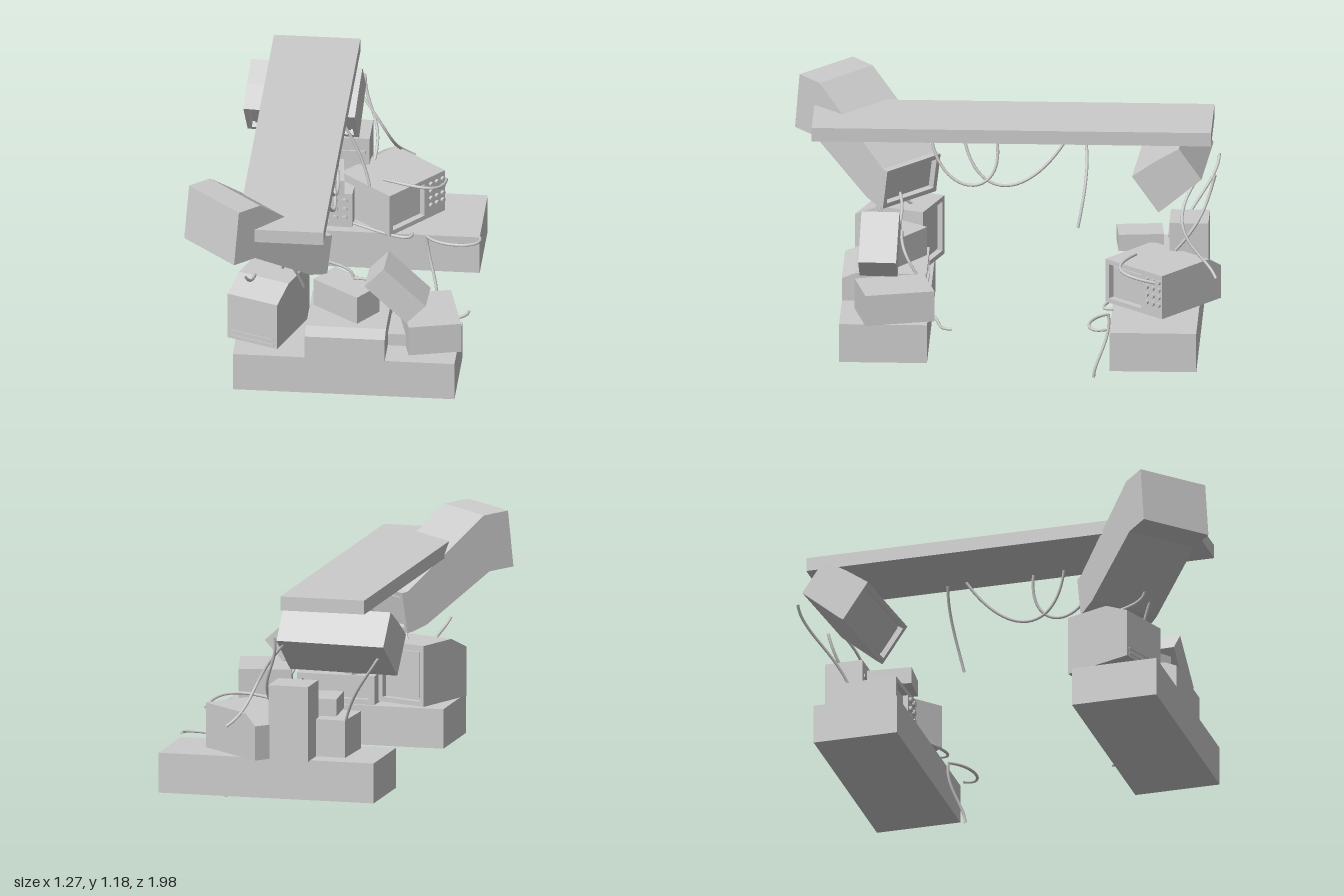
import * as THREE from 'three';

const grey = new THREE.MeshStandardMaterial({ color: 0xcccccc, side: THREE.DoubleSide });

function add(parent, name, geometry, pos = [0, 0, 0], rot = [0, 0, 0]) {
  const m = new THREE.Mesh(geometry, grey);
  m.name = name;
  m.position.set(...pos);
  m.rotation.set(...rot);
  parent.add(m);
}
const box = (parent, name, size, pos, rot) => add(parent, name, new THREE.BoxGeometry(...size), pos, rot);

// Side profile (x forward, y up) extruded to a centred width
function slab(profile, width) {
  const shape = new THREE.Shape(profile.map(p => new THREE.Vector2(...p)));
  return new THREE.ExtrudeGeometry(shape, { depth: width, bevelEnabled: false }).translate(0, 0, -width / 2);
}

// Rectangular frame with a hole, facing +x
function frame(w, h, border, holeW = w - 2 * border) {
  const rect = (P, x0, y0, x1, y1) => new P([[x0, y0], [x1, y0], [x1, y1], [x0, y1]].map(p => new THREE.Vector2(...p)));
  const s = rect(THREE.Shape, -w / 2, -h / 2, w / 2, h / 2);
  const x0 = border - w / 2;
  s.holes.push(rect(THREE.Path, x0, border - h / 2, x0 + holeW, h / 2 - border));
  return new THREE.ExtrudeGeometry(s, { depth: 0.03, bevelEnabled: false }).rotateY(Math.PI / 2);
}

// Monitor: casing from a profile whose last two points are the screen edge (bottom, top)
function monitor(name, parent, profile, width, pos, yaw, tilt = 0, holeW = width - 0.044) {
  const body = new THREE.Group();
  body.name = name;
  body.position.set(...pos);
  body.rotation.set(0, yaw, tilt);
  parent.add(body);
  add(body, 'casing', slab(profile, width));
  const [b, t] = profile.slice(-2);
  const h = Math.hypot(t[0] - b[0], t[1] - b[1]);
  const face = new THREE.Group();
  face.name = 'screenFace';
  face.position.set((b[0] + t[0]) / 2, (b[1] + t[1]) / 2, 0);
  face.rotation.z = -Math.atan2(t[0] - b[0], t[1] - b[1]);
  body.add(face);
  add(face, 'bezel', frame(width, h, 0.022, holeW));
  box(face, 'screen', [0.012, h - 0.07, holeW - 0.03], [0.006, 0, width / 2 - 0.022 - holeW / 2]);
  return { body, face };
}

function knobs(parent, y, z, cols, rows, step, r) {
  const geo = new THREE.CylinderGeometry(r, r, 0.014, 10).rotateZ(Math.PI / 2);
  for (let i = 0; i < cols; i++)
    for (let j = 0; j < rows; j++) add(parent, 'knob', geo, [0.036, y - j * step, z - i * step]);
}

// Cable between two points, pulled aside near each end by a bow vector
function cable(parent, a, b, bowA, bowB = bowA) {
  const from = new THREE.Vector3(...a), to = new THREE.Vector3(...b);
  const curve = new THREE.CubicBezierCurve3(from, from.clone().add(new THREE.Vector3(...bowA)),
    to.clone().add(new THREE.Vector3(...bowB)), to);
  add(parent, 'cable', new THREE.TubeGeometry(curve, 28, 0.007, 8));
}

export function createModel() {
  const root = new THREE.Group();
  root.name = 'monitorBridge';

  // Plinths and the plank that bridges them
  box(root, 'frontPlinth', [1.025, 0.185, 0.405], [0.1, 0.228, 0.548]);
  box(root, 'backPlinth', [1.025, 0.187, 0.4], [0.1, 0.202, -0.695]);
  box(root, 'plank', [0.4, 0.065, 1.84], [-0.18, 1.033, -0.02]);

  // Large tilted monitor at the front of the plank
  monitor('largeMonitor', root,
    [[0.16, 1.18], [0.03, 1.19], [0, 0.925], [0.13, 0.915], [0.47, 0.7], [0.545, 0.675], [0.575, 0.865]],
    0.345, [-0.51, 0, 0.875], 0.82);

  // Monitor under it, turned to the back, with vent slots on its rear
  const low = monitor('lowMonitor', root,
    [[0.12, 0.62], [0, 0.565], [0, 0.335], [0.31, 0.335], [0.31, 0.62]], 0.255, [-0.33, 0, 0.665], 1.21);
  for (const y of [0.352, 0.378]) box(low.body, 'ventSlot', [0.006, 0.006, 0.22], [-0.002, y, 0]);

  // Console with a sloping front lip and an open bay at the back
  const deck = new THREE.Group();
  deck.name = 'console';
  deck.position.set(0.105, 0.32, 0.75);
  deck.rotation.y = Math.PI / 2;
  root.add(deck);
  add(deck, 'casing', slab([[0, 0], [0.36, 0], [0.36, 0.135], [0.06, 0.135], [0, 0.11]], 0.37));
  add(deck, 'bay', frame(0.37, 0.135, 0.025), [0.36, 0.068, 0]);

  // Loose cases stacked on the front plinth
  box(root, 'stackedCase', [0.27, 0.14, 0.155], [0.09, 0.522, 0.51], [0, -0.64, 0]);
  box(root, 'leaningCase', [0.265, 0.132, 0.175], [0.333, 0.615, 0.575], [0, -0.04, -0.745]);
  box(root, 'cornerCase', [0.245, 0.147, 0.325], [0.475, 0.393, 0.5], [0, 0.24, 0]);
  box(root, 'smallCase', [0.09, 0.06, 0.2], [0.33, 0.35, 0.5]);

  // Hanging monitor under the back of the plank, looking down and forward
  monitor('hangingMonitor', root,
    [[0, 0.105], [-0.13, 0.095], [-0.13, -0.085], [0.1, -0.105], [0.1, 0.105]],
    0.52, [-0.22, 0.842, -0.76], -1.64, -0.62);

  // Measuring set turned to the front corner
  const scope = monitor('cornerScope', root,
    [[0.08, 0.51], [0, 0.46], [0, 0.3], [0.37, 0.3], [0.37, 0.51]], 0.355, [0.011, 0, -0.855], -0.707, 0, 0.2);
  knobs(scope.face, 0.07, -0.085, 3, 4, 0.037, 0.011);

  // Smaller measuring set with a box on top
  const set = monitor('smallScope', root,
    [[0, 0.47], [0, 0.295], [0.22, 0.295], [0.22, 0.47]], 0.28, [-0.11, 0, -0.79], -1.61, 0, 0.15);
  knobs(set.face, 0.05, -0.06, 2, 3, 0.045, 0.014);
  box(root, 'topBox', [0.15, 0.08, 0.21], [-0.1, 0.51, -0.61], [0, 0.1, 0]);

  // Tall tower at the back with a drive slot
  box(root, 'tower', [0.19, 0.35, 0.18], [-0.015, 0.47, -0.84]);
  box(root, 'driveSlot', [0.15, 0.015, 0.01], [-0.015, 0.575, -0.748]);

  // Cables slung and hanging under the plank
  cable(root, [-0.04, 1, 0.35], [-0.04, 1, 0.05], [0.06, -0.28, -0.05]);
  cable(root, [-0.05, 1, 0.2], [-0.05, 1, -0.27], [0.07, -0.28, -0.06], [0.07, -0.28, 0.18]);
  cable(root, [-0.04, 1, -0.36], [0.12, 0.63, -0.33], [0.05, -0.1, -0.02], [-0.03, 0.15, -0.03]);

  // Cables from the large monitor to the cases below
  cable(root, [-0.1, 0.72, 0.5], [0.12, 0.61, 0.49], [0.1, -0.05, -0.03], [0, 0.06, 0]);
  cable(root, [0.12, 0.6, 0.48], [0.35, 0.435, 0.37], [0.28, -0.01, 0], [-0.09, 0, 0.03]);
  cable(root, [-0.36, 0.69, 0.68], [-0.33, 0.61, 0.52], [0.03, -0.06, -0.02], [0, 0.02, 0]);
  cable(root, [-0.2, 0.72, 0.5], [-0.23, 0.61, 0.44], [0, -0.06, 0], [0.03, 0, 0]);
  cable(root, [-0.3, 1, 0.71], [-0.1, 0.6, 0.58], [0.1, -0.15, 0], [-0.04, 0.15, 0.06]);

  // Cables trailing over the plinths and down to the ground
  cable(root, [0.36, 0.33, 0.38], [0.63, 0.31, 0.23], [0.06, -0.07, -0.12], [0, 0, 0.09]);
  cable(root, [0.37, 0.3, -0.48], [0.61, 0.31, -0.48], [0.06, 0, 0.11]);
  cable(root, [0.37, 0.3, -0.48], [0.42, 0.01, -0.415], [0, -0.12, -0.02], [0.01, 0.08, 0]);
  cable(root, [0.02, 0.3, -0.57], [0.3, 0.3, -0.5], [0.14, 0, 0.08], [0.02, 0, 0.1]);
  cable(root, [0.16, 0.52, -0.6], [0.44, 0.48, -0.7], [0.12, 0.01, 0.06], [0.01, 0.05, 0.25]);

  // Cables from the hanging monitor to the sets below
  cable(root, [0.04, 0.87, -0.96], [0.1, 0.52, -0.78], [0, -0.15, 0.04], [0.04, 0.15, -0.12]);
  cable(root, [0.02, 0.83, -0.87], [0.27, 0.45, -0.97], [0.2, -0.2, 0.16], [-0.12, 0.08, 0.05]);
  cable(root, [-0.45, 0.8, -0.96], [-0.25, 0.47, -0.78], [0.06, -0.1, 0], [-0.05, 0.15, -0.06]);

  return root;
}
